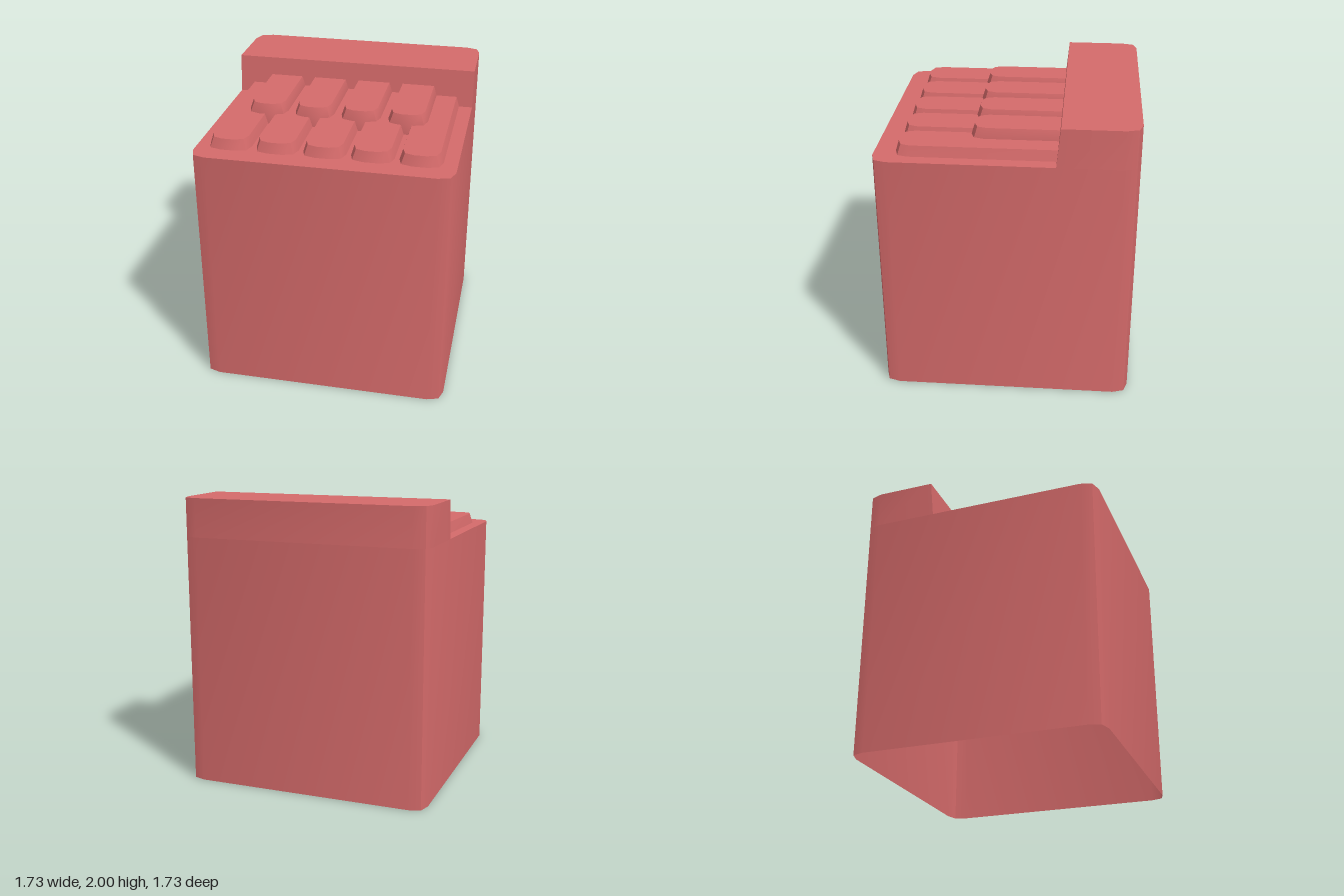
import * as THREE from 'three';
import { toCreasedNormals } from 'three/addons/utils/BufferGeometryUtils.js';

const DECK = 1.735, TOP = 2;
const material = new THREE.MeshStandardMaterial({ color: 0xd46a6a, side: THREE.DoubleSide });

// Skins a stack of convex rings ({ y, pts: [x, z] }, counterclockwise from above)
// and optionally closes the last ring.
function loft(name, rings, cap) {
  const pos = [];
  const put = (ring, i) => {
    const [x, z] = ring.pts[i % ring.pts.length];
    pos.push(x, ring.y, z);
  };
  for (let r = 0; r + 1 < rings.length; r++) {
    const a = rings[r], b = rings[r + 1];
    for (let i = 0; i < a.pts.length; i++) {
      put(a, i); put(a, i + 1); put(b, i + 1);
      put(a, i); put(b, i + 1); put(b, i);
    }
  }
  if (cap) {
    const top = rings[rings.length - 1];
    for (let i = 1; i + 1 < top.pts.length; i++) {
      put(top, 0); put(top, i); put(top, i + 1);
    }
  }
  const geo = new THREE.BufferGeometry();
  geo.setAttribute('position', new THREE.Float32BufferAttribute(pos, 3));
  const mesh = new THREE.Mesh(toCreasedNormals(geo, 0.6), material);
  mesh.name = name;
  return mesh;
}

// Mirrors a right-hand half outline to a full ring
const mirror = half => [...half.map(([x, z]) => [-x, z]), ...[...half].reverse()];

// Half outline of the rounded front or back (s = 1 or -1)
const corner = s => [[0.865, 0.76 * s], [0.84, 0.84 * s], [0.76, 0.865 * s]];

// Finger outline: straight sides, rounded front, open-ended into the rear block
function fingerRing(x, w, front, y, inset) {
  const h = w - inset, f = front - inset;
  const half = [[h, -0.36], [h, f - 0.09 + inset * 0.4], [h - 0.02, f - 0.022], [0.05 - inset * 0.4, f]];
  return { y, pts: mirror(half).map(([px, z]) => [px + x, z]) };
}

export function createModel() {
  const group = new THREE.Group();

  // Hollow body, open underneath
  const bodyPts = mirror([...corner(-1).reverse(), ...corner(1)]);
  group.add(loft('body', [{ y: 0, pts: bodyPts }, { y: DECK, pts: bodyPts }], false));

  // Flat deck in front of the raised block
  group.add(loft('deck', [{ y: DECK, pts: mirror([[0.865, -0.33], ...corner(1)]) }], true));

  // Raised rear block with a slightly sloped front
  const blockRing = (y, front) => ({ y, pts: mirror([...corner(-1).reverse(), [0.865, front]]) });
  group.add(loft('rearBlock', [blockRing(DECK, -0.33), blockRing(TOP, -0.355)], true));

  // Lower row of five fingers
  for (let i = 0; i < 5; i++) {
    const x = -0.643 + i * 0.3177;
    group.add(loft('lowerFinger' + (i + 1), [
      fingerRing(x, 0.143, 0.725, DECK, 0),
      fingerRing(x, 0.143, 0.725, 1.805, 0.021),
    ], true));
  }

  // Upper row of four fingers, bridging the gaps below
  for (let i = 0; i < 4; i++) {
    const x = -0.511 + i * 0.3263;
    group.add(loft('upperFinger' + (i + 1), [
      fingerRing(x, 0.137, 0.245, DECK, 0),
      fingerRing(x, 0.137, 0.245, 1.805, 0),
      fingerRing(x, 0.137, 0.245, 1.873, 0.022),
    ], true));
  }
  return group;
}
